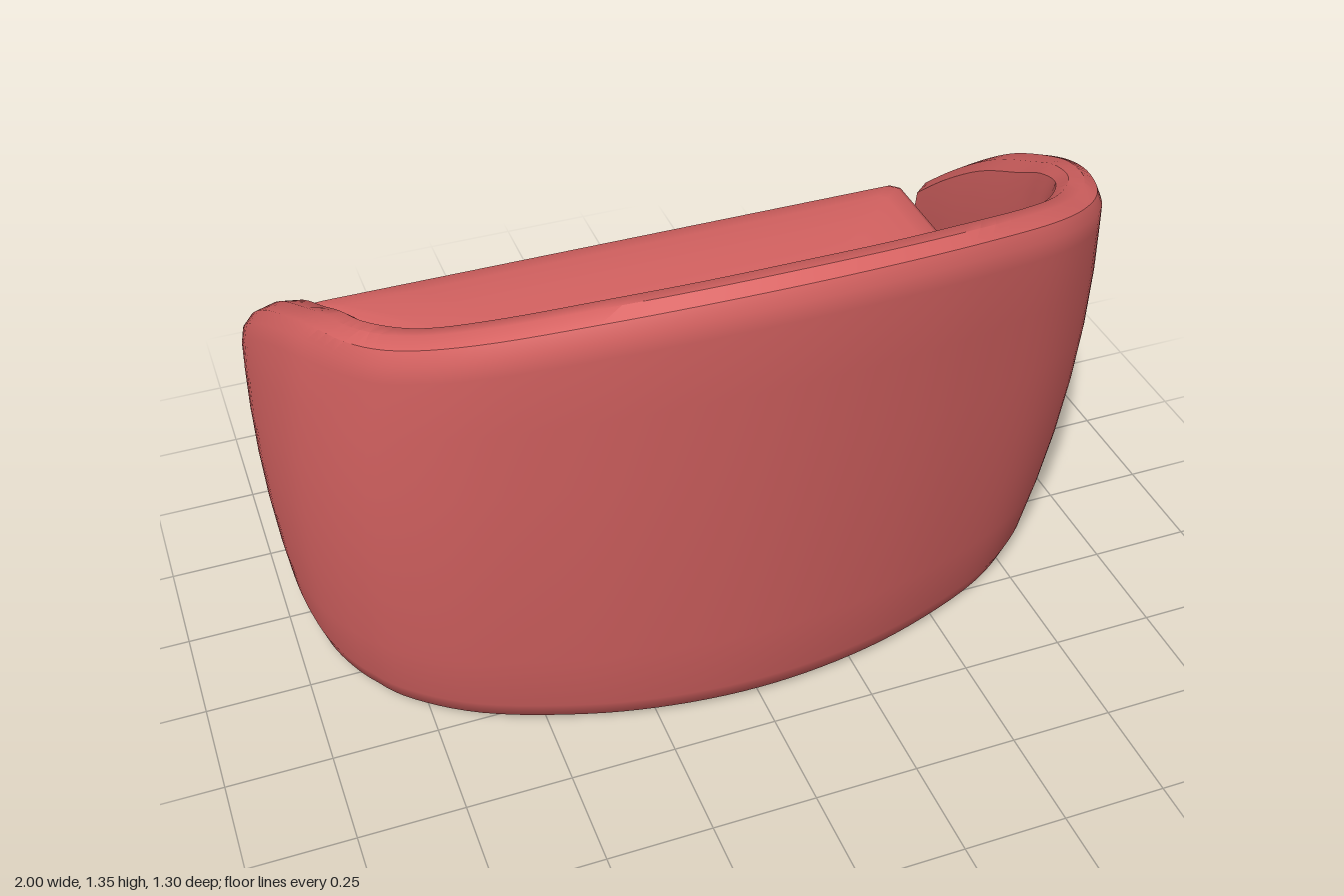
import * as THREE from 'three';
import { toCreasedNormals } from 'three/addons/utils/BufferGeometryUtils.js';

// Skin a list of closed loops of [x, y, z] points and cap both ends
function loft(sections, crease) {
  const n = sections[0].length, m = sections.length, pos = [], idx = [];
  sections.forEach(s => s.forEach(p => pos.push(...p)));
  const centre = s => [0, 1, 2].map(k => s.reduce((a, p) => a + p[k], 0) / n);
  pos.push(...centre(sections[0]), ...centre(sections[m - 1]));
  for (let j = 0; j < n; j++) {
    const k = (j + 1) % n;
    for (let i = 0; i < m - 1; i++) {
      const a = i * n + j, b = i * n + k;
      idx.push(a, b, a + n, b, b + n, a + n);
    }
    idx.push(m * n, k, j, m * n + 1, (m - 1) * n + j, (m - 1) * n + k);
  }
  const g = new THREE.BufferGeometry();
  g.setAttribute('position', new THREE.Float32BufferAttribute(pos, 3));
  g.setIndex(idx);
  return toCreasedNormals(g, crease);
}

// Smooth curve through half a set of points, mirrored in x; the last point lies on x = 0
function mirroredCurve(half) {
  const pts = half.map(p => new THREE.Vector3(...p));
  const other = pts.slice(0, -1).reverse().map(p => new THREE.Vector3(-p.x, p.y, p.z));
  return new THREE.CatmullRomCurve3([...pts, ...other], false, 'catmullrom', 0.5);
}

// Wraparound shell: outer plan (x, rim height, z) and matching inner plan
const outer = mirroredCurve([
  [0.965, 0.67, -0.61], [0.995, 0.825, -0.4], [1.0, 0.96, -0.2], [0.985, 1.07, 0], [0.955, 1.135, 0.16],
  [0.89, 1.18, 0.32], [0.80, 1.215, 0.42], [0.65, 1.265, 0.515], [0.42, 1.32, 0.597], [0.21, 1.35, 0.64], [0, 1.36, 0.655],
]);
const inner = mirroredCurve([
  [0.845, 0, -0.61], [0.83, 0, -0.4], [0.82, 0, -0.2], [0.81, 0, 0], [0.80, 0, 0.11],
  [0.775, 0, 0.22], [0.69, 0, 0.32], [0.56, 0, 0.40], [0.37, 0, 0.475], [0.19, 0, 0.518], [0, 0, 0.53],
]);

// Cross-section of the shell: [0 outside .. 1 inside, height]
function wallProfile(top) {
  const sides = [0.2, 0.35, 0.5, 0.65, 0.8];
  return [
    [0.25, 0.008], [0.06, 0.03], [0, 0.08], ...sides.map(f => [0, f * top]),
    [0, top - 0.09], [0.04, top - 0.045], [0.18, top - 0.014], [0.45, top], [0.75, top - 0.008],
    [0.95, top - 0.035], [1, top - 0.09], ...sides.reverse().map(f => [1, f * top]),
    [1, 0.05], [0.97, 0.02], [0.85, 0.008],
  ];
}

function shellSection(t, dz = 0, shrink = 0) {
  const o = outer.getPoint(t), p = inner.getPoint(t);
  const lean = THREE.MathUtils.clamp((o.z + 0.61) / 0.93, 0, 1);
  return wallProfile(o.y - shrink).map(([q0, h]) => {
    const q = shrink ? 0.5 + (q0 - 0.5) * 0.75 : q0;
    const bulge = 1 - 0.045 * Math.min(1, ((h - 0.55) / 0.55) ** 2);
    const shift = (0.405 + 0.21 * h - 0.02 * h * h - 0.655) * lean;
    return [
      THREE.MathUtils.lerp(o.x * bulge, p.x, q),
      h,
      THREE.MathUtils.lerp(o.z, p.z, q) + shift + dz,
    ];
  });
}

function shellGeometry() {
  const N = 96, sections = [shellSection(0, -0.015, 0.012)];
  for (let i = 0; i <= N; i++) sections.push(shellSection(i / N));
  sections.push(shellSection(1, -0.015, 0.012));
  return loft(sections, 0.6);
}

// D-shaped seat plan: straight front edge, rounded back
const FRONT = -0.655, BACK = 0.36;
const seatPlan = (() => {
  const curve = mirroredCurve([
    [-0.82, 0, -0.635], [-0.82, 0, -0.4], [-0.82, 0, -0.2], [-0.81, 0, 0], [-0.775, 0, 0.13],
    [-0.68, 0, 0.24], [-0.5, 0, 0.312], [-0.25, 0, 0.35], [0, 0, BACK],
  ]);
  const pts = curve.getPoints(64).map(p => [p.x, p.z]);
  for (let i = 0; i <= 8; i++) pts.push([0.8 - 0.2 * i, FRONT]);
  return pts;
})();

// Ring of the seat plan at height y, drawn in by inset, with its back edge at z = back
function seatRing([y, inset, back]) {
  const mid = (FRONT + back) / 2;
  return seatPlan.map(([x, z]) => {
    const zz = FRONT + (z - FRONT) * (back - FRONT) / (BACK - FRONT);
    return [x * (1 - inset / 0.82), y, mid + (zz - mid) * (1 - inset / 0.5)];
  });
}

export function createModel() {
  const group = new THREE.Group();
  const upholstery = new THREE.MeshStandardMaterial({ color: 0xd96463 });
  upholstery.name = 'coral upholstery';
  const add = (name, geometry) => {
    const mesh = new THREE.Mesh(geometry, upholstery);
    mesh.name = name;
    group.add(mesh);
  };

  add('backAndArms', shellGeometry());

  // Padded base with a softly bulging front
  add('seatBase', loft([
    [0.012, 0.03, 0.31], [0.04, 0.016, 0.31], [0.12, 0.004, 0.32], [0.27, 0, 0.34], [0.4, 0.003, 0.36],
    [0.45, 0.012, 0.365], [0.48, 0.03, 0.365], [0.495, 0.07, 0.365],
  ].map(seatRing), 0.8));

  // Loose cushion with a gently domed top
  add('seatCushion', loft([
    [0.49, 0.06, 0.37], [0.525, 0.03, 0.37], [0.54, 0.014, 0.37], [0.58, 0.008, 0.37], [0.63, 0.008, 0.37],
    [0.655, 0.016, 0.37], [0.67, 0.035, 0.37], [0.682, 0.09, 0.37], [0.695, 0.2, 0.37], [0.703, 0.33, 0.37], [0.706, 0.45, 0.37],
  ].map(seatRing), 0.8));

  return group;
}
